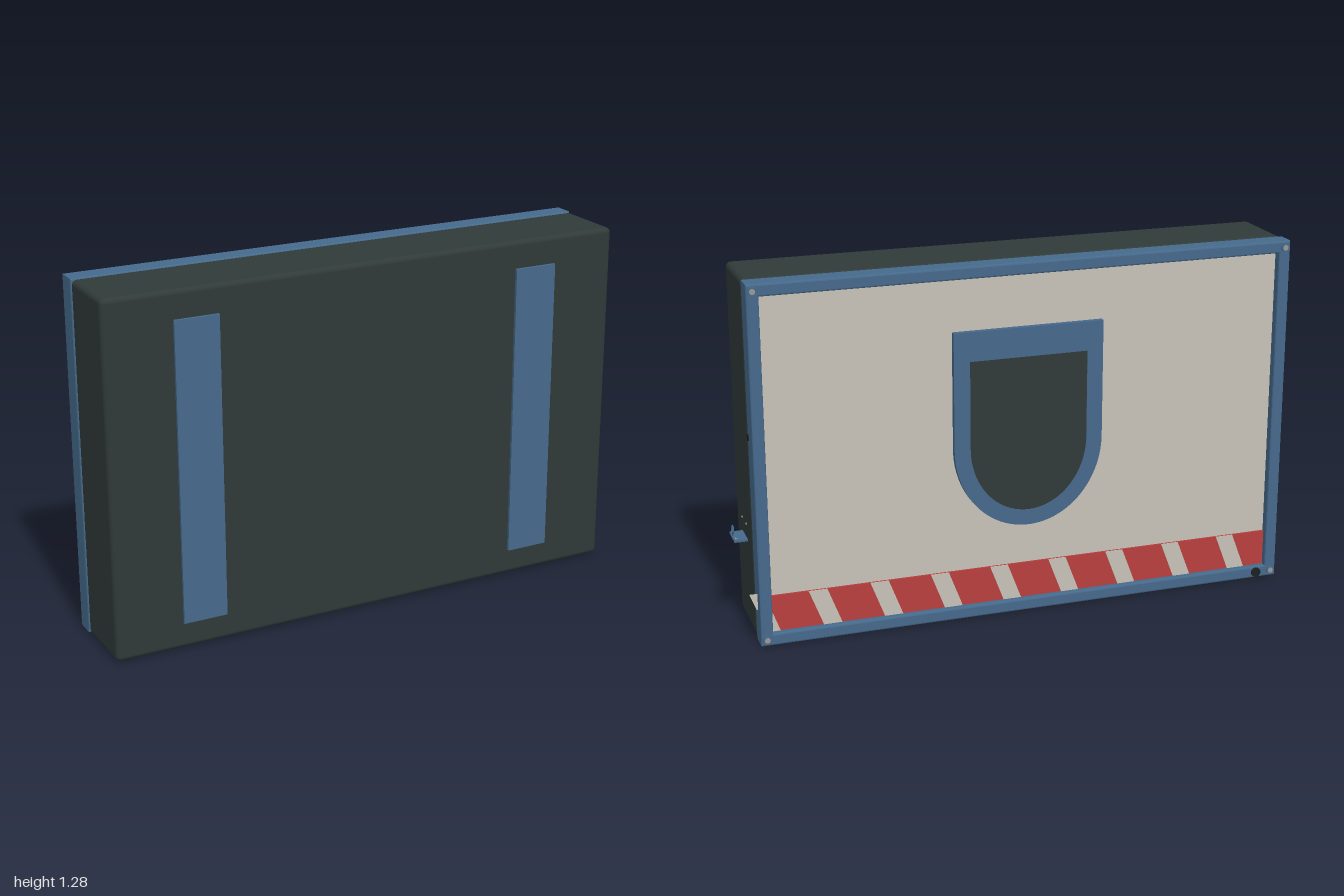
import * as THREE from 'three';
import { RoundedBoxGeometry } from 'three/addons/geometries/RoundedBoxGeometry.js';

const mat = (name, color, side = THREE.FrontSide) => {
  const m = new THREE.MeshStandardMaterial({ color, side });
  m.name = name;
  return m;
};

export function createModel() {
  const root = new THREE.Group();
  root.name = 'wallCase';
  const dark = mat('charcoal', 0x303a38);
  const blue = mat('steelBlue', 0x466a8c);
  const pale = mat('paleGrey', 0xc8c2b8, THREE.DoubleSide);
  const red = mat('red', 0xb83f3e);
  const metal = mat('screwGrey', 0x9a9890);
  const black = mat('black', 0x1c2021);

  const add = (name, geometry, material, x = 0, y = 0, z = 0, parent = root) => {
    const m = new THREE.Mesh(geometry, material);
    m.name = name;
    m.position.set(x, y, z);
    parent.add(m);
    return m;
  };
  const box = (w, h, d) => new THREE.BoxGeometry(w, h, d);
  const polygon = (pts) => new THREE.Shape(pts.map(([x, y]) => new THREE.Vector2(x, y)));
  const rect = (x0, y0, x1, y1) => polygon([[x0, y0], [x1, y0], [x1, y1], [x0, y1]]);
  const plate = (shape, depth) =>
    new THREE.ExtrudeGeometry(shape, { depth, bevelEnabled: false, curveSegments: 32 });

  const cx = -0.025;                       // centre of the case
  const x0 = -1, x1 = 0.95, top = 1.28;

  // Main body and its two mounting strips
  add('body', new RoundedBoxGeometry(1.95, 1.275, 0.27, 3, 0.018), dark, cx, 0.6425, 0.04);
  for (const s of [-1, 1])
    add('mountingStrip', box(0.16, 1.08, 0.012), blue, cx + s * 0.65, 0.64, 0.179);

  // Bevelled frame around the recessed back panel
  const border = 0.043;
  const outline = rect(x0, 0, x1, top);
  outline.holes.push(rect(x0 + border, border, x1 - border, top - border));
  const bevel = 0.006;
  add('backFrame', new THREE.ExtrudeGeometry(outline, {
    depth: 0.08 - 2 * bevel, bevelSize: bevel, bevelThickness: bevel,
    bevelOffset: -bevel, bevelSegments: 2,
  }), blue, 0, 0, -0.175 + bevel);
  add('backPanel', box(1.9, 1.23, 0.045), pale, cx, 0.64, -0.1225);

  // Red warning band with slanted pale bars
  const yb = 0.043, yt = 0.175, edge = x1 - border;
  add('warningBand', box(1.95 - 2 * border, yt - yb, 0.008), red, cx, (yt + yb) / 2, -0.148);
  for (let i = 0; i < 8; i++) {
    const x = 0.774 - i * 0.2195;
    add('warningBar', plate(polygon([
      [x, yt], [x - 0.05, yb], [x - 0.116, yb], [x - 0.066, yt],
    ]), 0.002), pale, 0, 0, -0.154);
  }
  add('warningBarEnd', plate(polygon([[edge, yb], [edge, 0.125], [0.877, yb]]), 0.002),
    pale, 0, 0, -0.154);

  // U-shaped window with a raised rim
  const uShape = (half, yTop, ySide, yLow) => {
    const s = new THREE.Shape();
    s.moveTo(half, yTop);
    s.lineTo(-half, yTop);
    s.lineTo(-half, ySide);
    s.absellipse(0, ySide, half, ySide - yLow, Math.PI, Math.PI * 2, false);
    s.lineTo(half, yTop);
    return s;
  };
  const rim = uShape(0.272, 1.05, 0.63, 0.325);
  const inner = uShape(0.214, 0.945, 0.63, 0.382);
  rim.holes.push(inner);
  add('windowRim', plate(rim, 0.02), blue, cx, 0, -0.165);
  add('windowPane', plate(inner, 0.018), dark, cx, 0, -0.1635);

  // Corner screws and a round button on the frame
  const disc = (name, r, h, material, x, y, z) => {
    const m = add(name, new THREE.CylinderGeometry(r, r, h, 20), material, x, y, z);
    m.rotation.x = Math.PI / 2;
    return m;
  };
  for (const x of [x0 + 0.021, x1 - 0.021])
    for (const y of [0.023, top - 0.023]) {
      disc('screwWasher', 0.016, 0.006, blue, x, y, -0.177);
      disc('cornerScrew', 0.01, 0.006, metal, x, y, -0.179);
    }
  disc('button', 0.018, 0.008, black, -0.92, 0.022, -0.178);

  // Side latch
  const latch = add('latch', new THREE.CylinderGeometry(0.012, 0.012, 0.006, 16), black, 0.95, 0.74, -0.108);
  latch.rotation.z = Math.PI / 2;

  // Small side bracket: shelf, ring and screws
  const bracket = new THREE.Group();
  bracket.name = 'sideBracket';
  root.add(bracket);
  add('shelf', box(0.05, 0.008, 0.09), blue, 0.972, 0.332, 0.035, bracket);
  const ring = add('ring', new THREE.TorusGeometry(0.013, 0.003, 8, 24), blue, 0.993, 0.361, 0.035, bracket);
  ring.rotation.y = Math.PI / 2;
  add('ringStem', box(0.005, 0.014, 0.006), blue, 0.993, 0.342, 0.035, bracket);
  for (const z of [0, 0.07])
    for (const y of [0.339, 0.39])
      add('bracketScrew', new THREE.SphereGeometry(0.004, 8, 6), metal, y > 0.36 ? 0.951 : 0.99, y, z, bracket);

  // Thin tapered tab beside the frame
  add('sideTab', new THREE.ShapeGeometry(polygon([[0.945, 0.185], [0.945, 0.125], [0.955, 0.125], [0.978, 0.185]])),
    pale, 0, 0, -0.14);

  return root;
}
